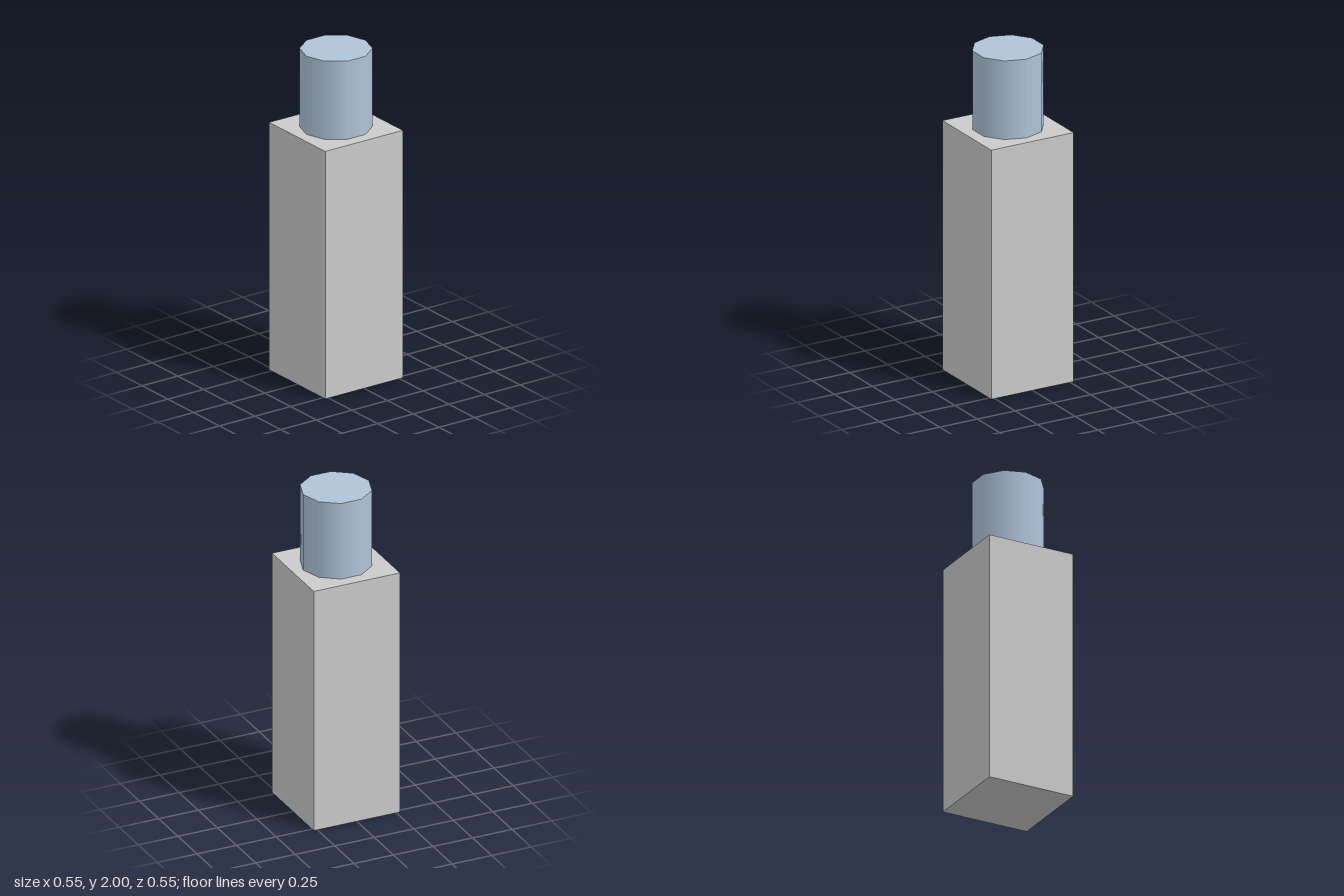
import * as THREE from 'three';

const BODY_HEIGHT = 1.52;
const BODY_WIDTH = 0.545;
const CAP_RADIUS = 0.208;
const CAP_HEIGHT = 2 - BODY_HEIGHT;

function addPart(group, name, geometry, color, y) {
  const mesh = new THREE.Mesh(geometry, new THREE.MeshStandardMaterial({ color }));
  mesh.name = name;
  mesh.position.y = y;
  group.add(mesh);
}

export function createModel() {
  const group = new THREE.Group();
  group.name = 'bottle';

  // Tall square body
  addPart(group, 'body', new THREE.BoxGeometry(BODY_WIDTH, BODY_HEIGHT, BODY_WIDTH), 0xcccccc, BODY_HEIGHT / 2);

  // Ten-sided cap with corners on the x axis
  const cap = new THREE.CylinderGeometry(CAP_RADIUS, CAP_RADIUS, CAP_HEIGHT, 10, 1, false, Math.PI / 2);
  addPart(group, 'cap', cap, 0xb0c4d9, BODY_HEIGHT + CAP_HEIGHT / 2);

  return group;
}
